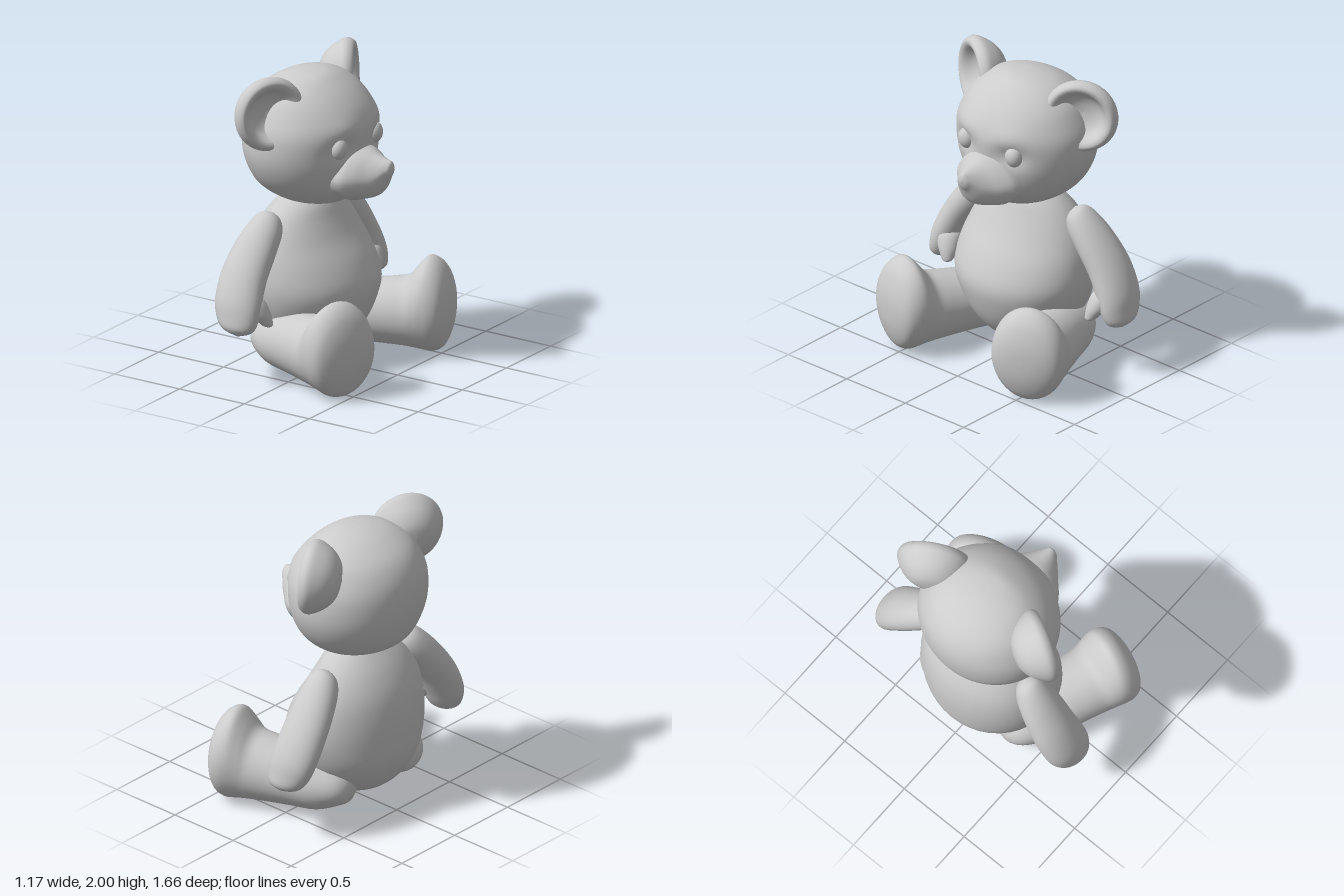
import * as THREE from 'three';

const material = new THREE.MeshStandardMaterial({ color: 0xcccccc, side: THREE.DoubleSide });

// Smoothly resample rows of numbers (Catmull-Rom on every column)
function smoothRows(rows, steps) {
  const out = [];
  const last = rows.length - 1;
  for (let i = 0; i < last; i++) {
    const a = rows[Math.max(i - 1, 0)], b = rows[i], c = rows[i + 1], d = rows[Math.min(i + 2, last)];
    for (let k = 0; k < steps; k++) {
      const t = k / steps;
      out.push(b.map((_, j) => 0.5 * (2 * b[j] + (c[j] - a[j]) * t
        + (2 * a[j] - 5 * b[j] + 4 * c[j] - d[j]) * t * t
        + (3 * b[j] - a[j] - 3 * c[j] + d[j]) * t * t * t)));
    }
  }
  out.push(rows[last]);
  return out;
}

// Skin a closed body through rings; place(row, cos, sin) gives each ring point
function loft(name, rows, place, steps = 4, sides = 40) {
  const rings = smoothRows(rows, steps);
  const pos = [], idx = [];
  rings.forEach((row, i) => {
    for (let j = 0; j < sides; j++) {
      const a = (j / sides) * Math.PI * 2;
      pos.push(...place(row, Math.cos(a), Math.sin(a)));
      if (i === 0) continue;
      const n = (j + 1) % sides, p = (i - 1) * sides, q = i * sides;
      idx.push(p + j, q + j, p + n, p + n, q + j, q + n);
    }
  });
  // Turn the faces outwards if the signed volume is negative
  const v = (i) => new THREE.Vector3().fromArray(pos, i * 3);
  const mid = rings.length >> 1;
  const origin = v(mid * sides).add(v(mid * sides + sides / 2)).multiplyScalar(0.5);
  let volume = 0;
  for (let i = 0; i < idx.length; i += 3) {
    const [a, b, c] = [0, 1, 2].map((k) => v(idx[i + k]).sub(origin));
    volume += a.dot(b.cross(c));
  }
  if (volume < 0) idx.reverse();
  const geo = new THREE.BufferGeometry();
  geo.setAttribute('position', new THREE.Float32BufferAttribute(pos, 3));
  geo.setIndex(idx);
  geo.computeVertexNormals();
  const mesh = new THREE.Mesh(geo, material);
  mesh.name = name;
  return mesh;
}

// Upright ring: [y, back x, front x, half width]
const upright = ([y, xb, xf, w], c, s) => [(xb + xf) / 2 + (xf - xb) / 2 * c, y, w * s];

function makeBody() {
  return loft('body', [
    [0.08, -0.16, -0.15, 0], [0.09, -0.27, -0.02, 0.12], [0.14, -0.38, 0.08, 0.23], [0.24, -0.48, 0.17, 0.345],
    [0.38, -0.54, 0.235, 0.435], [0.54, -0.55, 0.265, 0.48], [0.7, -0.54, 0.205, 0.47], [0.85, -0.505, 0.11, 0.425],
    [0.98, -0.44, 0.04, 0.35], [1.08, -0.36, -0.01, 0.25], [1.15, -0.28, -0.08, 0.12], [1.16, -0.18, -0.17, 0],
  ], upright);
}

function makeHead() {
  return loft('head', [
    [1.09, -0.11, -0.1, 0], [1.095, -0.27, 0.05, 0.15], [1.13, -0.39, 0.12, 0.255], [1.21, -0.505, 0.19, 0.36],
    [1.32, -0.56, 0.23, 0.435], [1.45, -0.588, 0.25, 0.475], [1.6, -0.588, 0.255, 0.47], [1.72, -0.555, 0.21, 0.42],
    [1.82, -0.485, 0.13, 0.35], [1.9, -0.365, 0.03, 0.24], [1.94, -0.25, -0.05, 0.11], [1.95, -0.15, -0.14, 0],
  ], (row, c, s) => {
    const [x, y, z] = upright(row, c, s);
    if (x < -0.1) return [x, y, z];
    // Eye sockets below soft brow ridges
    const dz = (Math.abs(z) - 0.19) / 0.1;
    const socket = Math.exp(-dz * dz - ((y - 1.52) / 0.07) ** 2);
    const brow = Math.exp(-dz * dz - ((y - 1.65) / 0.07) ** 2);
    return [x - 0.035 * socket + 0.012 * brow, y, z];
  }, 6, 64);
}

function makeMuzzle() {
  // Rings along x: [x, low y, high y, half width]
  return loft('muzzle', [
    [0.08, 1.3, 1.31, 0], [0.1, 1.17, 1.46, 0.22], [0.2, 1.14, 1.5, 0.245], [0.27, 1.155, 1.49, 0.21],
    [0.34, 1.18, 1.465, 0.145], [0.39, 1.22, 1.45, 0.1], [0.43, 1.3, 1.44, 0.06],
    [0.455, 1.34, 1.43, 0.035], [0.467, 1.38, 1.39, 0],
  ], ([x, lo, hi, w], c, s) => {
    // Widest in the lower half, narrowing to a nose ridge
    const narrow = s > 0 ? 1 - 0.2 * s : 1;
    return [x, (lo + hi) / 2 + (hi - lo) / 2 * s, w * c * narrow];
  });
}

function makeEye(side) {
  const eye = new THREE.Mesh(new THREE.SphereGeometry(0.06, 24, 16), material);
  eye.scale.set(0.9, 1.2, 1);
  eye.position.set(0.185, 1.525, side * 0.2);
  return eye;
}

// Cupped ear, opening forwards and outwards
function makeEar(side) {
  const profile = smoothRows([
    [0, -0.17], [0.1, -0.155], [0.18, -0.1], [0.232, -0.02], [0.242, 0.03], [0.215, 0.07],
    [0.175, 0.06], [0.13, 0], [0.07, -0.03], [0, -0.04],
  ], 4).map(([r, h]) => new THREE.Vector2(Math.max(r, 0), h));
  const ear = new THREE.Mesh(new THREE.LatheGeometry(profile, 40), material);
  const facing = new THREE.Vector3(0.87, 0.05, side * 0.48).normalize();
  ear.quaternion.setFromUnitVectors(new THREE.Vector3(0, 1, 0), facing);
  ear.position.set(-0.2, 1.76, side * 0.435);
  return ear;
}

function makeArm(side) {
  const arm = new THREE.Group();
  // Rings down the arm: [x, y, z, half width, half thickness, slope angle]
  arm.add(loft('upperArmAndHand', [
    [-0.23, 1.06, 0.35, 0, 0, 0.75], [-0.23, 1.035, 0.365, 0.07, 0.07, 0.75], [-0.235, 0.97, 0.41, 0.115, 0.105, 0.75],
    [-0.25, 0.85, 0.51, 0.145, 0.115, 0.7], [-0.26, 0.7, 0.62, 0.16, 0.115, 0.55], [-0.25, 0.55, 0.7, 0.165, 0.11, 0.4],
    [-0.235, 0.45, 0.735, 0.15, 0.095, 0.3], [-0.22, 0.38, 0.76, 0.105, 0.07, 0.25], [-0.21, 0.345, 0.77, 0, 0, 0.25],
  ], ([x, y, z, w, t, a], c, s) => [x + w * c, y + t * s * Math.sin(a), side * (z + t * s * Math.cos(a))]));
  // Stubby thumb on the inner front edge
  arm.add(loft('thumb', [
    [-0.2, 0.62, 0.66, 0], [-0.175, 0.57, 0.66, 0.075], [-0.135, 0.49, 0.64, 0.075],
    [-0.1, 0.43, 0.62, 0.05], [-0.085, 0.4, 0.61, 0.033], [-0.075, 0.385, 0.605, 0],
  ], ([x, y, z, r], c, s) => [x + r * c, y, side * (z + r * s)], 4, 24));
  return arm;
}

function makeLeg(side) {
  const cos = Math.cos(0.35), sin = Math.sin(0.35);
  // Rings from hip to sole: [distance, half width, low y, high y]
  return loft('legAndFoot', [
    [-0.39, 0, 0.2, 0.2], [-0.37, 0.09, 0.125, 0.28], [-0.3, 0.16, 0.085, 0.345], [-0.16, 0.2, 0.035, 0.395],
    [0, 0.21, 0.03, 0.435], [0.18, 0.22, 0.025, 0.465], [0.28, 0.228, 0.02, 0.49], [0.34, 0.24, 0.014, 0.56],
    [0.4, 0.252, 0.005, 0.625], [0.46, 0.25, 0.002, 0.615], [0.515, 0.225, 0.035, 0.56],
    [0.55, 0.17, 0.11, 0.48], [0.57, 0.09, 0.2, 0.39], [0.575, 0, 0.295, 0.295],
  ], ([d, w, lo, hi], c, s) => {
    const u = w * c, y = (lo + hi) / 2 + (hi - lo) / 2 * s;
    return [d * cos - u * sin, y, side * (0.385 + d * sin + u * cos)];
  });
}

export function createModel() {
  const model = new THREE.Group();
  model.name = 'teddyBear';
  model.add(makeBody(), makeHead(), makeMuzzle());
  // The bear looks along +x, so its left is -z
  for (const [label, side] of [['left', -1], ['right', 1]]) {
    const parts = { Eye: makeEye(side), Ear: makeEar(side), Arm: makeArm(side), Leg: makeLeg(side) };
    for (const [part, object] of Object.entries(parts)) {
      object.name = label + part;
      model.add(object);
    }
  }
  return model;
}
